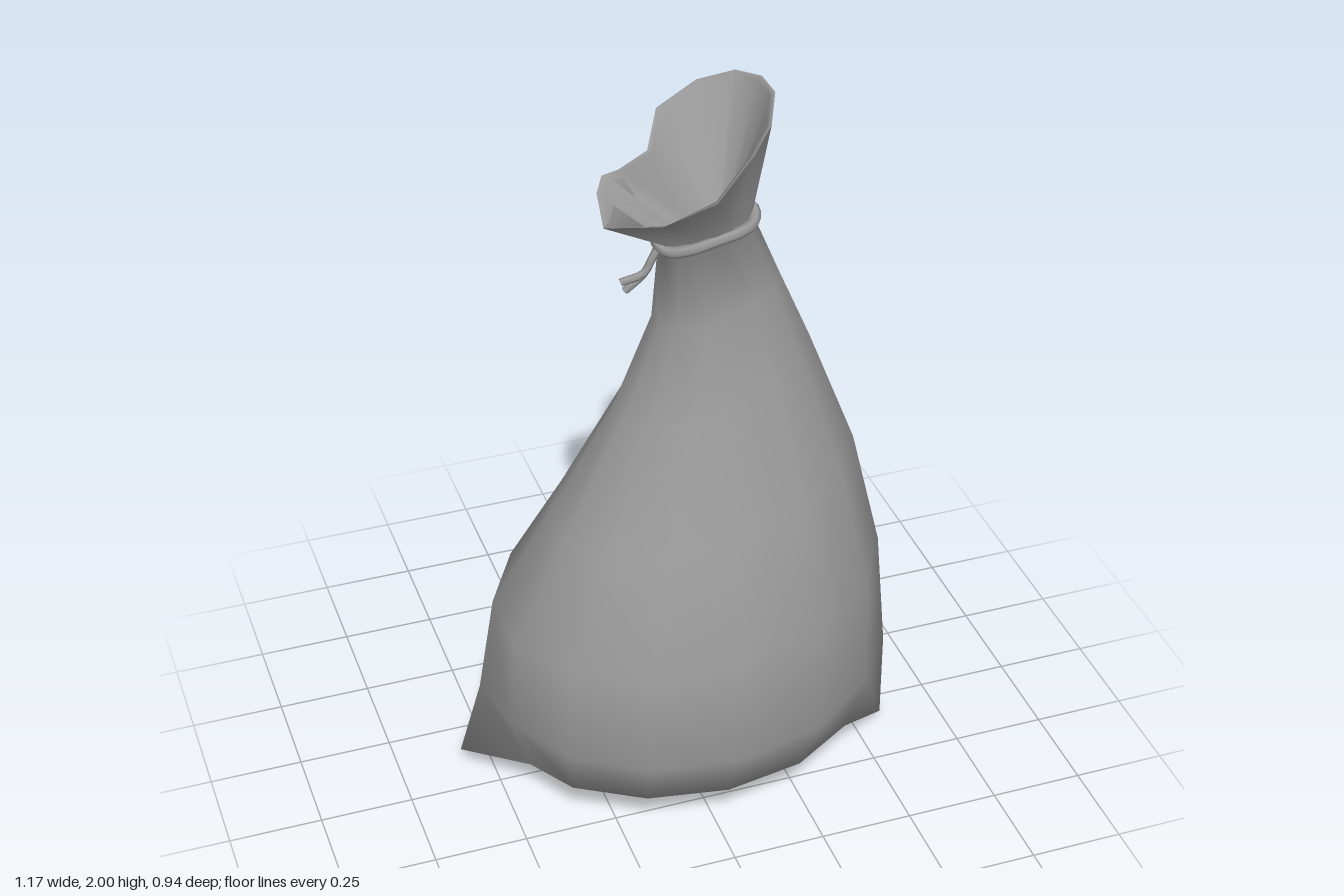
import * as THREE from 'three';

const SIDES = 14;
const material = new THREE.MeshStandardMaterial({ color: 0x999999, side: THREE.DoubleSide });

// One tilted oval ring: heights at left/right, then x and z limits
function ovalRing([yLow, yHigh, x0, x1, z0, z1]) {
  return Array.from({ length: SIDES }, (_, k) => {
    const a = (k / SIDES) * Math.PI * 2;
    const s = Math.sin(a) / 0.975, c = Math.cos(a);
    return [
      (x0 + x1) / 2 + (s * (x1 - x0)) / 2,
      yLow + ((yHigh - yLow) * (s + 1)) / 2,
      (z0 + z1) / 2 + (c * (z1 - z0)) / 2,
    ];
  });
}

// Skin a stack of rings running from bottom to top
function skin(rings, name) {
  const index = [];
  for (let i = 0; i < rings.length - 1; i++) {
    for (let k = 0; k < SIDES; k++) {
      const a = i * SIDES + k, b = i * SIDES + ((k + 1) % SIDES);
      index.push(a, b, a + SIDES, b, b + SIDES, a + SIDES);
    }
  }
  const geometry = new THREE.BufferGeometry();
  geometry.setAttribute('position', new THREE.Float32BufferAttribute(rings.flat(2), 3));
  geometry.setIndex(index);
  geometry.computeVertexNormals();
  const mesh = new THREE.Mesh(geometry, material);
  mesh.name = name;
  return mesh;
}

function rope(points, radius, closed, segments, name) {
  const curve = new THREE.CatmullRomCurve3(points.map((p) => new THREE.Vector3(...p)), closed);
  const mesh = new THREE.Mesh(new THREE.TubeGeometry(curve, segments, radius, 6, closed), material);
  mesh.name = name;
  return mesh;
}

export function createModel() {
  const group = new THREE.Group();
  group.name = 'tiedSack';

  // Cloth body, from the bottom centre up to the tied neck
  const body = [
    [0, 0, 0.019, 0.021, -0.001, 0.001],
    [0.045, 0.04, -0.35, 0.39, -0.22, 0.22],
    [0.13, 0.13, -0.46, 0.51, -0.38, 0.38],
    [0.28, 0.33, -0.49, 0.548, -0.472, 0.47],
    [0.54, 0.64, -0.475, 0.545, -0.435, 0.44],
    [0.82, 0.98, -0.33, 0.465, -0.285, 0.325],
    [1.13, 1.3, -0.16, 0.345, -0.16, 0.195],
    [1.4, 1.5, -0.06, 0.26, -0.09, 0.15],
    [1.64, 1.69, -0.05, 0.18, -0.03, 0.13],
  ].map(ovalRing);

  // Pulled-out bottom corners, pinched in on one side, and the fold beneath
  body[2][3] = [0.582, 0.02, 0.09];
  body[2][4] = [0.47, 0.11, -0.1];
  body[2][10] = [-0.585, 0.06, -0.09];
  body[2][11] = [-0.44, 0.12, 0.1];
  body[2][9] = [-0.42, 0.05, -0.28];
  body[3][3] = [0.572, 0.3, 0.11];
  body[3][10] = [-0.52, 0.26, -0.1];

  // Soft pleat up the front of the neck
  for (const ring of [body[6], body[7]]) {
    ring[13][2] += 0.018;
    ring[0][2] -= 0.015;
  }

  // Slanted, heart-shaped mouth
  const rim = [
    [0, 1.88, 0.315], [0.12, 1.94, 0.23], [0.19, 1.975, 0.16], [0.24, 2, 0.05],
    [0.24, 2, -0.04], [0.2, 1.985, -0.12], [0.11, 1.96, -0.148], [0, 1.91, -0.13],
    [-0.06, 1.86, -0.02], [-0.13, 1.815, -0.03], [-0.17, 1.8, -0.04], [-0.205, 1.795, 0.03],
    [-0.205, 1.725, 0.08], [-0.1, 1.782, 0.215],
  ];
  const neck = body[body.length - 1];
  group.add(skin([...body, rim], 'clothSack'));

  // Inner side of the mouth with a thin hem, narrowing to a closed throat
  const inset = (ring, f, dy) => ring.map(([x, y, z]) =>
    [0.05 + (x - 0.05) * f, y + dy, 0.06 + (z - 0.06) * f]);
  group.add(skin([rim, inset(rim, 0.92, -0.005), inset(neck, 0.55, 0.02), inset(neck, 0.01, -0.01)], 'mouthLining'));

  // Cord around the neck, slightly wavy
  const loop = Array.from({ length: 12 }, (_, k) => {
    const a = (k / 12) * Math.PI * 2;
    return [
      0.062 + 0.125 * Math.sin(a),
      1.672 + 0.025 * Math.sin(a) + 0.008 * Math.cos(a * 3),
      0.058 + 0.092 * Math.cos(a),
    ];
  });
  group.add(rope(loop, 0.015, true, 36, 'neckCord'));

  // Loose cord ends
  [
    [[-0.055, 1.65, 0.07], [-0.08, 1.61, 0.07], [-0.1, 1.575, 0.07], [-0.16, 1.56, 0.07]],
    [[-0.055, 1.65, 0.06], [-0.075, 1.6, 0.055], [-0.095, 1.56, 0.05], [-0.14, 1.515, 0.04]],
  ].forEach((path, i) => group.add(rope(path, 0.01, false, 10, 'cordEnd' + (i + 1))));

  return group;
}
